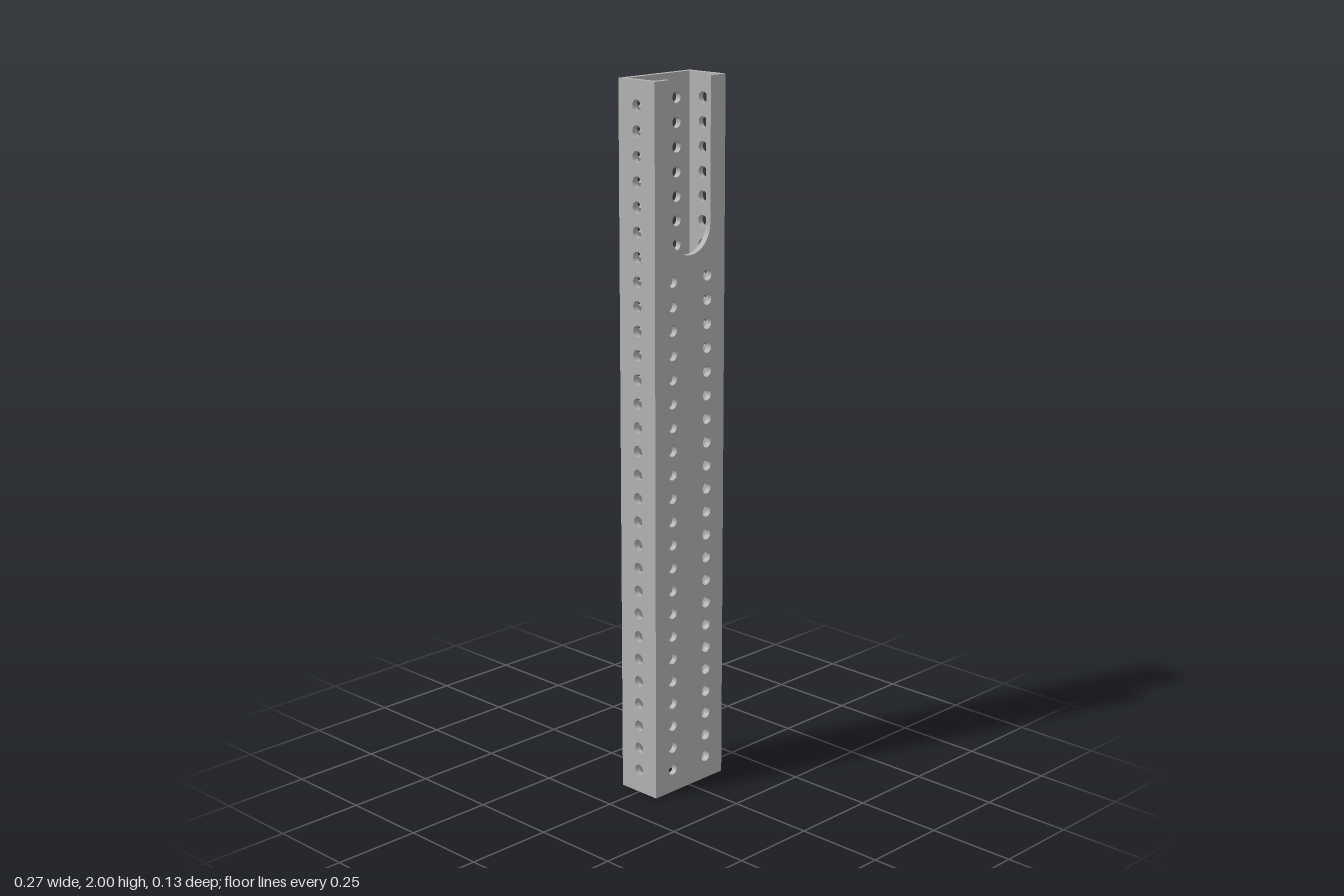
import * as THREE from 'three';

const HEIGHT = 2, WIDTH = 0.267, DEPTH = 0.133, WALL = 0.0167;
const PITCH = HEIGHT / 30, HOLE_R = 0.0155, SLOT_R = 0.077, SLOT_Y = 1.607;

const metal = new THREE.MeshStandardMaterial({ color: 0xb2b2b2 });
metal.name = 'grey metal';

// Plain wall outline, standing on y = 0
function wallOutline(width) {
  const w = width / 2;
  return new THREE.Shape()
    .moveTo(-w, 0).lineTo(w, 0).lineTo(w, HEIGHT).lineTo(-w, HEIGHT).closePath();
}

// Wall outline with a round-bottomed slot open at the top
function slottedOutline(width) {
  const w = width / 2;
  return new THREE.Shape()
    .moveTo(-w, 0).lineTo(w, 0).lineTo(w, HEIGHT).lineTo(SLOT_R, HEIGHT)
    .lineTo(SLOT_R, SLOT_Y)
    .absarc(0, SLOT_Y, SLOT_R, 0, Math.PI, true)
    .lineTo(-SLOT_R, HEIGHT).lineTo(-w, HEIGHT).closePath();
}

// Punches evenly spaced holes in columns and gives the wall its thickness
function makeWall(name, outline, columns, count) {
  for (const x of columns) {
    for (let i = 1; i <= count; i++) {
      outline.holes.push(new THREE.Path().absarc(x, i * PITCH, HOLE_R, 0, Math.PI * 2, true));
    }
  }
  const geometry = new THREE.ExtrudeGeometry(outline, {
    depth: WALL, bevelEnabled: false, curveSegments: 24,
  });
  const mesh = new THREE.Mesh(geometry, metal);
  mesh.name = name;
  return mesh;
}

export function createModel() {
  const group = new THREE.Group();
  group.name = 'perforatedTube';

  // Broad walls: slotted front, full back
  const front = makeWall('frontWall', slottedOutline(WIDTH), [-PITCH, PITCH], 22);
  front.position.z = DEPTH / 2 - WALL;
  const back = makeWall('backWall', wallOutline(WIDTH), [-PITCH, PITCH], 29);
  back.position.z = -DEPTH / 2;
  group.add(front, back);

  // Narrow side walls with one column of holes each
  for (const side of [-1, 1]) {
    const wall = makeWall(side > 0 ? 'leftWall' : 'rightWall',
      wallOutline(DEPTH - 2 * WALL), [0], 29);
    wall.rotation.y = side * Math.PI / 2;
    wall.position.x = side * (WIDTH / 2 - WALL);
    group.add(wall);
  }
  return group;
}
